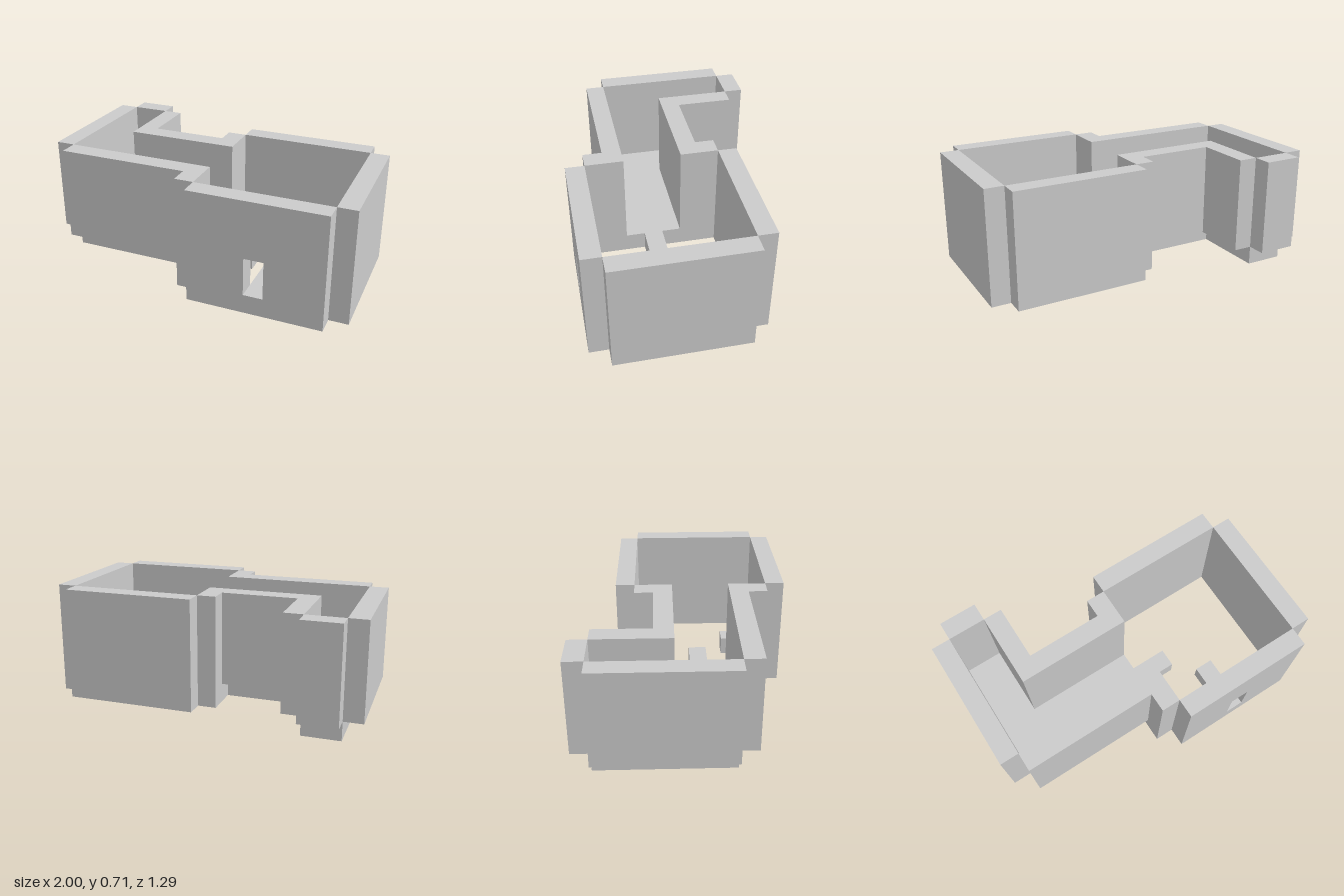
import * as THREE from 'three';

// The whole building sits on a square grid, 17 cells wide, 6 high, 11 deep.
const CELL = 2 / 17;
const px = (i) => (i - 8.5) * CELL;
const pz = (k) => (k - 5.5) * CELL;

export function createModel() {
  const model = new THREE.Group();
  const material = new THREE.MeshStandardMaterial({ color: 0xcccccc, flatShading: true });

  function add(name, geometry) {
    const mesh = new THREE.Mesh(geometry, material);
    mesh.name = name;
    model.add(mesh);
    return mesh;
  }

  // Box between grid lines: x0..x1, z0..z1, y0..y1
  function block(name, x0, x1, z0, z1, y0 = 0, y1 = 6) {
    const geometry = new THREE.BoxGeometry((x1 - x0) * CELL, (y1 - y0) * CELL, (z1 - z0) * CELL);
    add(name, geometry).position.set(
      (px(x0) + px(x1)) / 2, ((y0 + y1) / 2) * CELL, (pz(z0) + pz(z1)) / 2);
  }

  // L-shaped floor of the left wing, with a step reaching into the open room
  const plan = [[1, 1], [3, 1], [3, 5], [9, 5], [9, 6], [11, 6], [11, 7], [9, 7], [9, 8], [1, 8]];
  const floor = new THREE.ExtrudeGeometry(
    new THREE.Shape(plan.map(([x, z]) => new THREE.Vector2(px(x), -pz(z)))),
    { depth: CELL, bevelEnabled: false });
  floor.rotateX(-Math.PI / 2);
  add('floor', floor);

  // Walls of the wing start one cell above the ground, outside the floor
  block('wingSideWall', 0, 1, 1, 8, 1);
  block('wingBackWall', 1, 3, 0, 1, 1);
  block('wingFrontWall', 1, 8, 8, 9, 1);
  const corner = [[3, 1], [4, 1], [4, 4], [8, 4], [8, 5], [3, 5]];
  const inner = new THREE.ExtrudeGeometry(
    new THREE.Shape(corner.map(([x, z]) => new THREE.Vector2(px(x), -pz(z)))),
    { depth: 5 * CELL, bevelEnabled: false });
  inner.rotateX(-Math.PI / 2);
  add('wingInnerWall', inner).position.y = CELL;

  // Walls of the open room; the dividing wall leaves a gap to the wing
  block('dividingWallBack', 8, 9, 3, 5);
  block('dividingWallFront', 8, 9, 8, 10);
  block('roomBackWall', 9, 16, 2, 3);
  block('roomSideWall', 16, 17, 3, 10);

  // Front wall with its window
  const rect = (Type, x0, x1, y0, y1) => new Type([[x0, y0], [x1, y0], [x1, y1], [x0, y1]]
    .map(([x, y]) => new THREE.Vector2(px(x), y * CELL)));
  const front = rect(THREE.Shape, 9, 16, 0, 6);
  front.holes.push(rect(THREE.Path, 12, 13, 1, 3));
  add('roomFrontWall', new THREE.ExtrudeGeometry(front, { depth: CELL, bevelEnabled: false }))
    .position.z = pz(10);

  // Low step below the window
  block('windowStep', 12, 13, 8, 10, 0, 1);

  return model;
}
